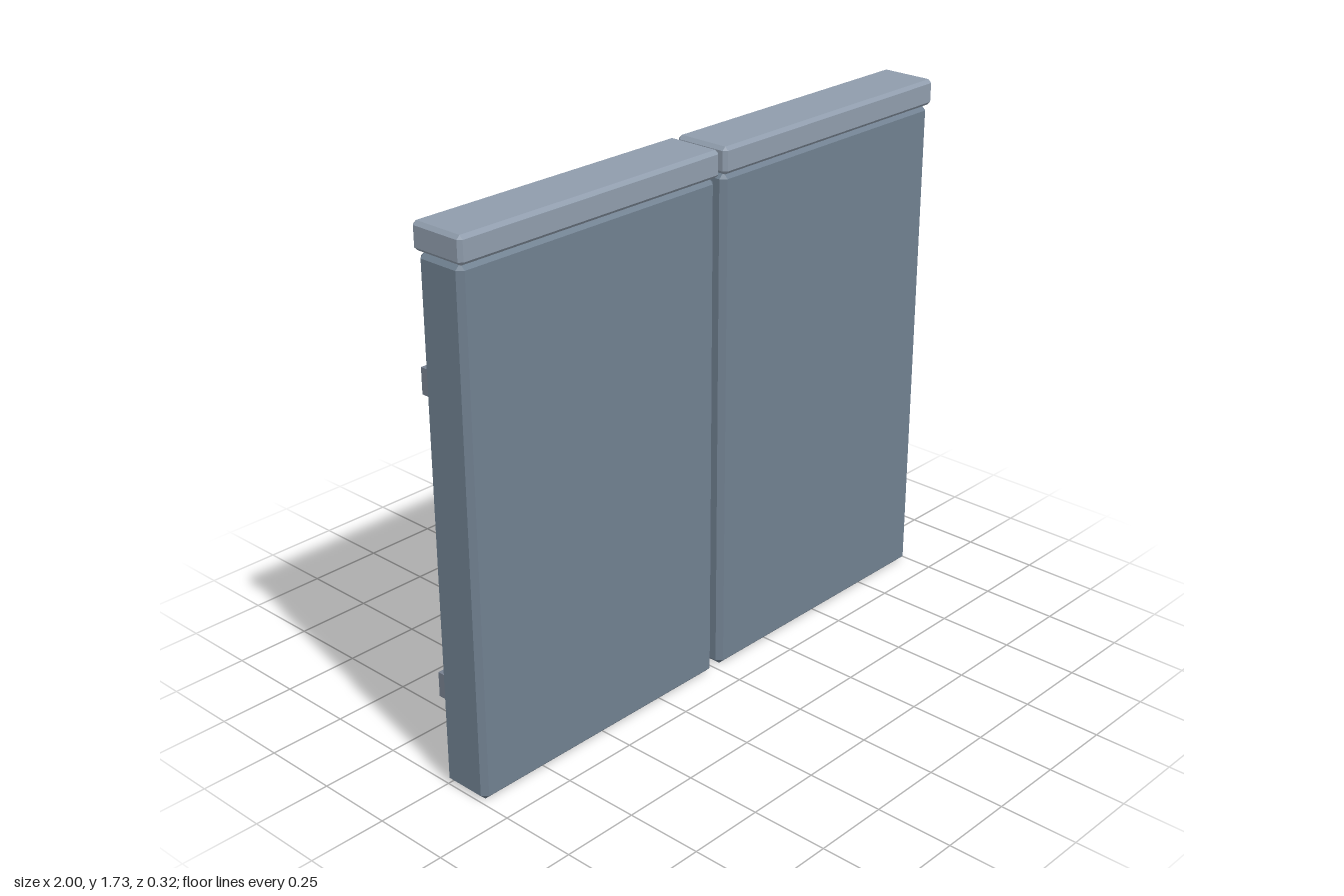
import * as THREE from 'three';
import { ConvexGeometry } from 'three/addons/geometries/ConvexGeometry.js';

const paint = (color) => new THREE.MeshStandardMaterial({ color });

// Box with every edge chamfered by c, given as min and max corners
function chamferBox(min, max, c) {
  const points = [];
  for (const i of [0, 1]) for (const j of [0, 1]) for (const k of [0, 1]) {
    const corner = [i, j, k].map((s, a) => (s ? max[a] : min[a]));
    const inset = [i, j, k].map((s, a) => corner[a] + (s ? -c : c));
    for (let a = 0; a < 3; a++) {
      const p = [...inset];
      p[a] = corner[a];
      points.push(new THREE.Vector3(...p));
    }
  }
  return new ConvexGeometry(points);
}

export function createModel() {
  const model = new THREE.Group();
  model.name = 'doubleDoor';

  const slate = paint(0x708090);
  const capPaint = paint(0x8f9cac);
  const strapPaint = paint(0x76808f);
  const rivetPaint = paint(0x3d4956);
  const cream = paint(0xe8dcc0);

  const rivetShape = new THREE.SphereGeometry(0.025, 6, 4).toNonIndexed();
  rivetShape.computeVertexNormals();
  rivetShape.rotateX(Math.PI / 2);

  const add = (parent, name, geometry, material, x = 0, y = 0, z = 0) => {
    const mesh = new THREE.Mesh(geometry, material);
    mesh.name = name;
    mesh.position.set(x, y, z);
    parent.add(mesh);
    return mesh;
  };

  for (const side of [-1, 1]) {
    const leaf = new THREE.Group();
    leaf.name = side > 0 ? 'leftLeaf' : 'rightLeaf';
    model.add(leaf);
    const cx = side * 0.505;

    // Slab and the cap rail on top of it
    add(leaf, 'panel', chamferBox([-0.49, 0, -0.017], [0.49, 1.645, 0.152], 0.017), slate, cx);
    add(leaf, 'capRail', chamferBox([-0.495, 1.645, -0.028], [0.495, 1.728, 0.162], 0.011), capPaint, cx);

    // Flat straps across the back
    for (const y of [0.32, 1.27]) {
      add(leaf, 'strap', new THREE.BoxGeometry(0.97, 0.08, 0.03), strapPaint, side * 0.503, y, -0.017);
    }

    // Rivets along the top and down the outer edge of the back
    for (let i = 0; i < 4; i++) {
      add(leaf, 'topRivet', rivetShape, rivetPaint, side * (0.17 + 0.22 * i), 1.545, -0.014);
    }
    for (let i = 0; i < 5; i++) {
      add(leaf, 'edgeRivet', rivetShape, rivetPaint, side * 0.9, 0.145 + 0.317 * i, -0.014);
    }
  }

  // Domed disc bridging both leaves at the back
  const profile = [[0, 0.025], [0.38, 0.028], [0.4, 0.077], [0.3, 0.14], [0, 0.16]]
    .map(([r, h]) => new THREE.Vector2(r, h));
  const disc = add(model, 'domedDisc', new THREE.LatheGeometry(profile, 12), cream, 0, 0.75, 0);
  disc.rotation.x = -Math.PI / 2;

  return model;
}
